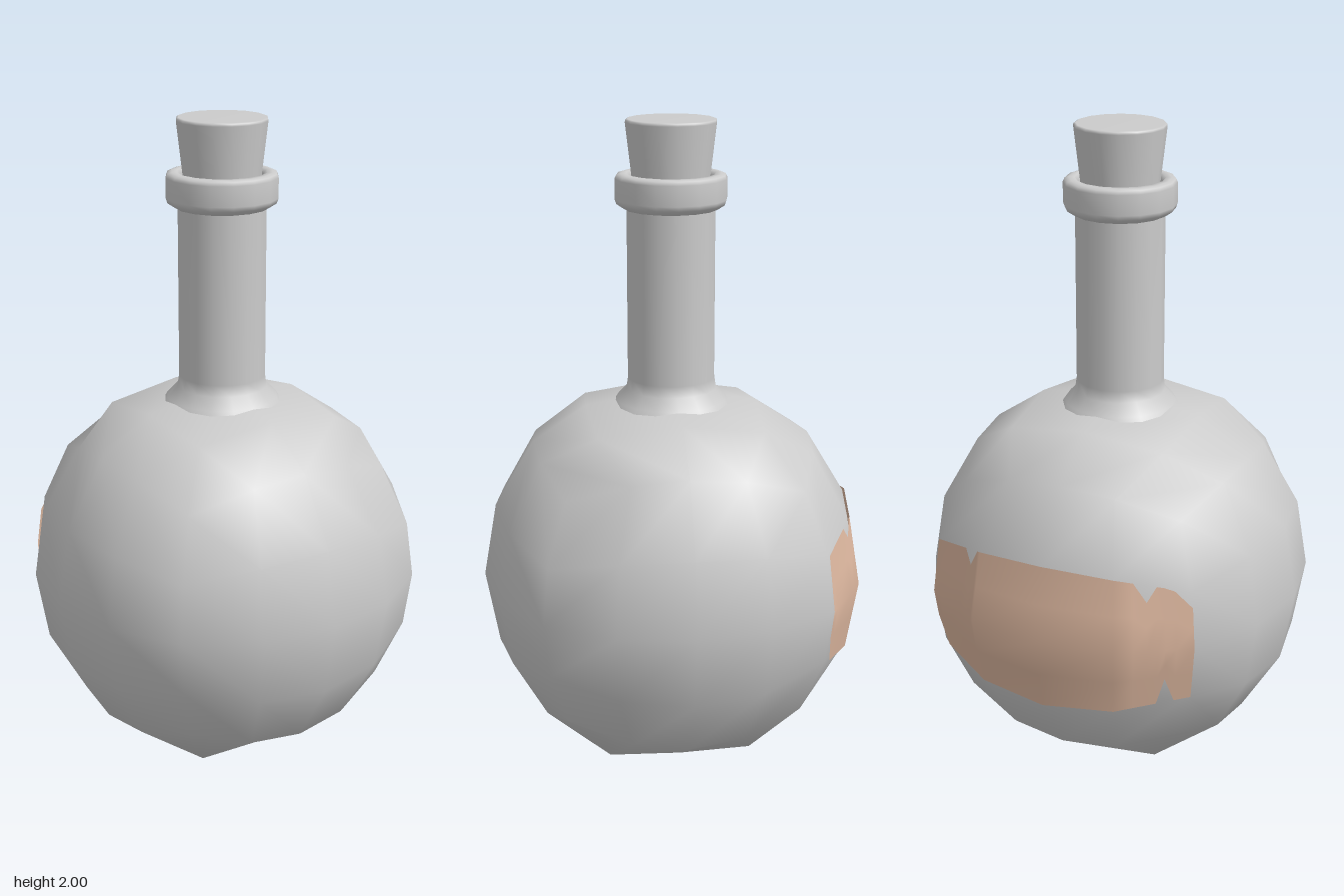
import * as THREE from 'three';
import { mergeVertices } from 'three/addons/utils/BufferGeometryUtils.js';

const SIDES = 16, CENTRE_Y = 0.56;
const grey = new THREE.MeshStandardMaterial({ color: 0xcccccc });
const tan = new THREE.MeshStandardMaterial({ color: 0xdeb8a0, side: THREE.DoubleSide });

// Point of the bulb on the cube face (n, u, v) at grid position i, j in -2..2
function bulbPoint(n, u, v, i, j) {
  const p = n.clone()
    .addScaledVector(u, Math.tan(i * Math.PI / 8))
    .addScaledVector(v, Math.tan(j * Math.PI / 8)).normalize();
  const m = Math.max(Math.abs(p.x), Math.abs(p.y), Math.abs(p.z));
  const top = p.y > 0.8, bottom = p.y < -0.8;
  p.multiplyScalar(0.605 + 0.034 * (1 - m * m));
  p.y += CENTRE_Y;
  if (bottom) { p.x *= 1.03; p.z *= 1.03; p.y = 0; }   // flat foot
  if (top) { p.x *= 1.16; p.z *= 1.16; p.y -= 0.01; }  // shoulder round the neck
  return p;
}

// Round bulb: a cube sphere with four by four quads to a face
function makeBulb() {
  const pos = [], index = [];
  const X = new THREE.Vector3(1, 0, 0), Y = new THREE.Vector3(0, 1, 0), Z = new THREE.Vector3(0, 0, 1);
  for (const [u, v] of [[X, Y], [Y, Z], [Z, X], [Y, X], [Z, Y], [X, Z]]) {
    const n = u.clone().cross(v), base = pos.length / 3;
    for (let j = -2; j <= 2; j++)
      for (let i = -2; i <= 2; i++) pos.push(...bulbPoint(n, u, v, i, j).toArray());
    for (let j = 0; j < 4; j++)
      for (let i = 0; i < 4; i++) {
        const a = base + j * 5 + i, b = a + 1, c = a + 6, d = a + 5;
        index.push(a, b, d, b, c, d);
      }
  }
  let g = new THREE.BufferGeometry();
  g.setAttribute('position', new THREE.Float32BufferAttribute(pos, 3));
  g.setIndex(index);
  g = mergeVertices(g, 1e-4);
  g.computeVertexNormals();
  return g;
}

// Point of the label, just outside the flat facets on the back of the bulb
function labelPoint(s, t) {
  const n = new THREE.Vector3(0, 0, -1), u = new THREE.Vector3(1, 0, 0), v = new THREE.Vector3(0, 1, 0);
  const i = Math.min(1, Math.floor(s)), j = Math.min(0, Math.floor(t));
  const low = bulbPoint(n, u, v, i, j).lerp(bulbPoint(n, u, v, i + 1, j), s - i);
  const high = bulbPoint(n, u, v, i, j + 1).lerp(bulbPoint(n, u, v, i + 1, j + 1), s - i);
  const p = low.lerp(high, t - j);
  p.y -= CENTRE_Y;
  p.multiplyScalar(1.012);
  p.y += CENTRE_Y;
  return p;
}

// Torn label: columns of [position across, bottom edge, top edge]
function makeLabel() {
  const columns = [
    [-2, -1, 0.72], [-1.78, -1, 0.97], [-1.65, -0.55, 1], [-1.55, -1, 1], [-1.42, -1, 0.74],
    [-1.25, -1, 1], [-1, -1, 1], [0, -1, 1], [1, -1, 1], [1.05, -1, 1],
    [1.17, -1, 0.78], [1.32, -1, 1], [1.85, -1, 1], [2, -0.5, 1],
  ];
  const pos = [], index = [];
  columns.forEach(([s, bottom, top], k) => {
    for (const t of [bottom, bottom / 2, 0, top / 2, top]) pos.push(...labelPoint(s, t).toArray());
    if (k === 0) return;
    for (let r = 0; r < 4; r++) {
      const a = (k - 1) * 5 + r, b = a + 5;
      index.push(a, a + 1, b, b, a + 1, b + 1);
    }
  });
  const g = new THREE.BufferGeometry();
  g.setAttribute('position', new THREE.Float32BufferAttribute(pos, 3));
  g.setIndex(index);
  g.computeVertexNormals();
  return g;
}

function lathe(points) {
  return new THREE.LatheGeometry(points.map(([r, y]) => new THREE.Vector2(r, y)), SIDES);
}

export function createModel() {
  const model = new THREE.Group();
  const add = (name, geometry, material = grey) => {
    const mesh = new THREE.Mesh(geometry, material);
    mesh.name = name;
    model.add(mesh);
  };

  add('bulb', makeBulb());
  add('label', makeLabel(), tan);

  // Neck with a flared root
  add('neck', lathe([[0.2, 1.09], [0.175, 1.13], [0.142, 1.165], [0.137, 1.2], [0.137, 1.7], [0.137, 1.76]]));

  // Bevelled collar round the mouth
  add('lip', lathe([
    [0.13, 1.728], [0.145, 1.73], [0.168, 1.745], [0.173, 1.76], [0.173, 1.822],
    [0.168, 1.833], [0.155, 1.837], [0.138, 1.837], [0.127, 1.825], [0.122, 1.77],
  ]));

  // Tapered stopper
  add('cork', lathe([[0, 1.74], [0.11, 1.74], [0.112, 1.75], [0.14, 1.99], [0.139, 1.997], [0.133, 2], [0, 2]]));

  return model;
}
